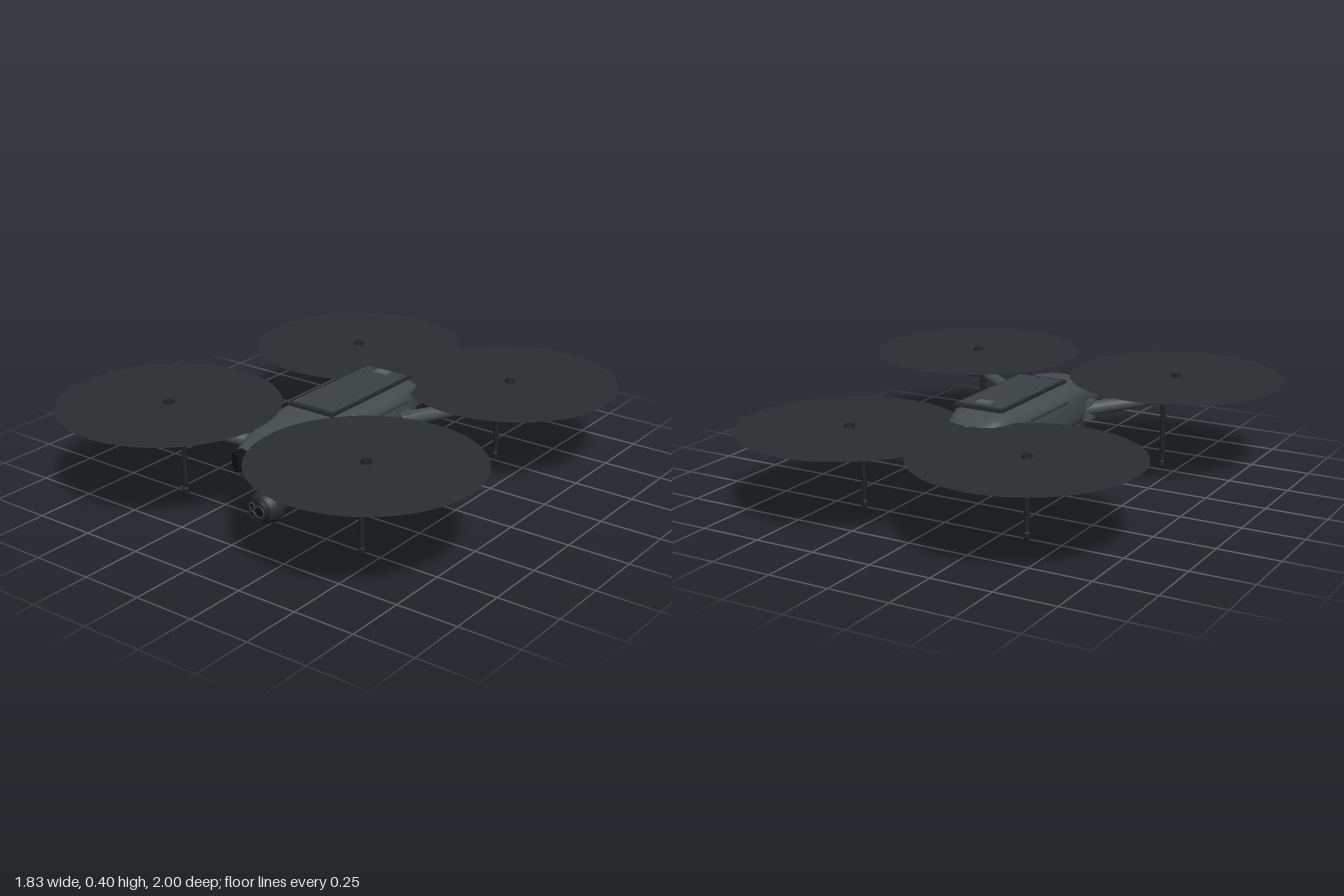
import * as THREE from 'three';
import { RoundedBoxGeometry } from 'three/addons/geometries/RoundedBoxGeometry.js';

const mat = (color, side = THREE.FrontSide) => new THREE.MeshStandardMaterial({ color, side });
const M = {
  shell: mat(0x464c4e), dark: mat(0x1f2224), panel: mat(0x3c4143), trim: mat(0x282b2d),
  silver: mat(0x9a9d9f), glass: mat(0x111316), disc: mat(0x2b2f32, THREE.DoubleSide),
};

function add(parent, name, geometry, material, x = 0, y = 0, z = 0) {
  const mesh = new THREE.Mesh(geometry, material);
  mesh.name = name;
  mesh.position.set(x, y, z);
  parent.add(mesh);
  return mesh;
}

// Tapered round bar between two points
function rod(parent, name, a, b, r0, r1, material) {
  const p = new THREE.Vector3(...a), q = new THREE.Vector3(...b), d = q.clone().sub(p);
  const mesh = add(parent, name, new THREE.CylinderGeometry(r1, r0, d.length(), 16), material);
  mesh.position.copy(p).add(q).multiplyScalar(0.5);
  mesh.quaternion.setFromUnitVectors(new THREE.Vector3(0, 1, 0), d.normalize());
  return mesh;
}

// Rounded-square rings joined along z; station = [z, halfWidth, bottom, top]
function loft(stations, sides = 40) {
  const pos = [], index = [];
  const power = (v, e) => Math.sign(v) * Math.abs(v) ** e;
  for (const [z, w, lo, hi] of stations) {
    for (let j = 0; j < sides; j++) {
      const t = (j / sides) * Math.PI * 2, c = Math.cos(t), s = Math.sin(t);
      const e = s > 0 ? 0.55 : 0.72;
      pos.push(w * power(c, e), (lo + hi) / 2 + ((hi - lo) / 2) * power(s, e), z);
    }
  }
  for (let i = 0; i < stations.length - 1; i++) {
    for (let j = 0; j < sides; j++) {
      const a = i * sides + j, b = i * sides + (j + 1) % sides, c = a + sides, d = b + sides;
      index.push(a, b, c, b, d, c);
    }
  }
  const g = new THREE.BufferGeometry();
  g.setAttribute('position', new THREE.Float32BufferAttribute(pos, 3));
  g.setIndex(index);
  g.computeVertexNormals();
  return g;
}

// Wrap-around sensor window with a notch at the lower middle
function visorGeometry() {
  const s = new THREE.Shape();
  s.moveTo(0, 0.034);
  s.bezierCurveTo(0.05, 0.034, 0.1, 0.03, 0.098, 0.005);
  s.bezierCurveTo(0.095, -0.03, 0.06, -0.045, 0.04, -0.025);
  s.quadraticCurveTo(0, -0.008, -0.04, -0.025);
  s.bezierCurveTo(-0.06, -0.045, -0.095, -0.03, -0.098, 0.005);
  s.bezierCurveTo(-0.1, 0.03, -0.05, 0.034, 0, 0.034);
  const g = new THREE.ExtrudeGeometry(s, {
    depth: 0.045, bevelEnabled: true, bevelSize: 0.005, bevelThickness: 0.008, bevelSegments: 3, curveSegments: 10,
  });
  const p = g.attributes.position;
  for (let i = 0; i < p.count; i++) p.setZ(i, p.getZ(i) - 5 * p.getX(i) ** 2);
  g.computeVertexNormals();
  return g;
}

// Motor, propeller and swept disc; y is the bottom of the motor
function rotor(parent, x, y, z, side) {
  const g = new THREE.Group();
  g.name = 'rotor';
  g.position.set(x, y, z);
  parent.add(g);
  add(g, 'motorBase', new THREE.CylinderGeometry(0.05, 0.048, 0.052, 32), M.dark, 0, 0.026, 0);
  add(g, 'motorBell', new THREE.CylinderGeometry(0.046, 0.05, 0.045, 32), M.silver, 0, 0.0745, 0);
  add(g, 'hubCap', new THREE.CylinderGeometry(0.02, 0.023, 0.026, 8), M.dark, 0, 0.111, 0);
  const disc = add(g, 'sweptDisc', new THREE.CircleGeometry(0.44, 56), M.disc, 0, 0.112, 0);
  disc.rotation.x = -Math.PI / 2;
  for (const s of [-1, 1]) {
    const blade = new THREE.Shape();
    blade.moveTo(0.01, -0.015);
    blade.quadraticCurveTo(0.13, -0.045, 0.435, -0.012);
    blade.lineTo(0.435, 0.01);
    blade.quadraticCurveTo(0.13, 0.03, 0.01, 0.015);
    const m = add(g, 'blade', new THREE.ExtrudeGeometry(blade, { depth: 0.004, bevelEnabled: false }), M.dark, 0, 0.106, 0);
    m.rotation.set(-Math.PI / 2, 0, (s > 0 ? 0 : Math.PI) + side * 0.05);
  }
}

function leg(parent, x, z, top) {
  add(parent, 'leg', new THREE.CylinderGeometry(0.012, 0.01, top - 0.02, 12), M.dark, x, top / 2 + 0.01, z);
  add(parent, 'foot', new THREE.CapsuleGeometry(0.013, 0.014, 4, 12), M.dark, x, 0.02, z);
}

export function createModel() {
  const model = new THREE.Group();
  model.name = 'drone';

  // Fuselage
  add(model, 'fuselage', loft([
    [-0.375, 0.002, 0.27, 0.275], [-0.372, 0.035, 0.25, 0.295], [-0.345, 0.075, 0.235, 0.325],
    [-0.30, 0.112, 0.21, 0.352], [-0.25, 0.13, 0.187, 0.375], [-0.17, 0.15, 0.165, 0.38],
    [-0.05, 0.166, 0.15, 0.384], [0.14, 0.169, 0.145, 0.386], [0.27, 0.165, 0.153, 0.384],
    [0.40, 0.15, 0.17, 0.372], [0.50, 0.132, 0.19, 0.355], [0.58, 0.112, 0.206, 0.328],
    [0.62, 0.095, 0.216, 0.312], [0.645, 0.06, 0.232, 0.30], [0.65, 0.002, 0.26, 0.268],
  ]), M.shell);
  add(model, 'visor', visorGeometry(), M.glass, 0, 0.285, 0.62);

  // Top hatch with end bars and a small badge plate
  add(model, 'hatchRim', new THREE.BoxGeometry(0.216, 0.012, 0.53), M.trim, 0, 0.388, 0.012);
  add(model, 'hatch', new THREE.BoxGeometry(0.196, 0.012, 0.49), M.panel, 0, 0.391, 0.012);
  add(model, 'hatchButton', new THREE.BoxGeometry(0.06, 0.008, 0.042), mat(0x5a6062), 0, 0.4, -0.2);

  // Camera ball under the nose
  const cam = new THREE.Group();
  cam.name = 'cameraBall';
  cam.position.set(0, 0.083, 0.535);
  model.add(cam);
  add(cam, 'cameraNeck', new THREE.CylinderGeometry(0.035, 0.028, 0.09, 24), M.dark, 0, 0.1, 0);
  add(cam, 'cameraShell', new THREE.SphereGeometry(0.07, 32, 24), M.trim);
  const face = add(cam, 'cameraFace', new THREE.CylinderGeometry(0.044, 0.05, 0.024, 32), M.dark, 0, 0, 0.06);
  face.rotation.x = Math.PI / 2;
  for (const [x, y, r] of [[0.016, 0.002, 0.022], [-0.02, 0.018, 0.012], [-0.02, -0.016, 0.012]]) {
    add(cam, 'lensRing', new THREE.TorusGeometry(r, 0.003, 8, 24), M.panel, x, y, 0.072);
    add(cam, 'lens', new THREE.CircleGeometry(r, 24), M.glass, x, y, 0.0735);
  }

  for (const s of [-1, 1]) {
    // Side strips along the shoulder
    add(model, 'sideStrip', new RoundedBoxGeometry(0.012, 0.014, 0.34, 2, 0.005), M.panel, s * 0.163, 0.33, 0.02);

    // Front arm, hinge, motor and leg
    add(model, 'frontHinge', new THREE.CylinderGeometry(0.034, 0.034, 0.075, 24), M.shell, s * 0.15, 0.25, 0.39);
    rod(model, 'frontArm', [s * 0.15, 0.25, 0.385], [s * 0.455, 0.305, 0.543], 0.032, 0.021, M.shell);
    rotor(model, s * 0.475, 0.28, 0.555, s);
    leg(model, s * 0.435, 0.525, 0.31);

    // Rear arm with a thicker sleeve near the body
    add(model, 'rearHinge', new THREE.CylinderGeometry(0.034, 0.034, 0.07, 24), M.shell, s * 0.155, 0.255, -0.13);
    rod(model, 'rearSleeve', [s * 0.155, 0.26, -0.1], [s * 0.28, 0.26, -0.35], 0.032, 0.027, M.shell);
    rod(model, 'rearArm', [s * 0.27, 0.26, -0.33], [s * 0.375, 0.252, -0.54], 0.026, 0.02, M.shell);
    rotor(model, s * 0.387, 0.224, -0.56, s);
    leg(model, s * 0.36, -0.51, 0.255);
  }
  return model;
}
